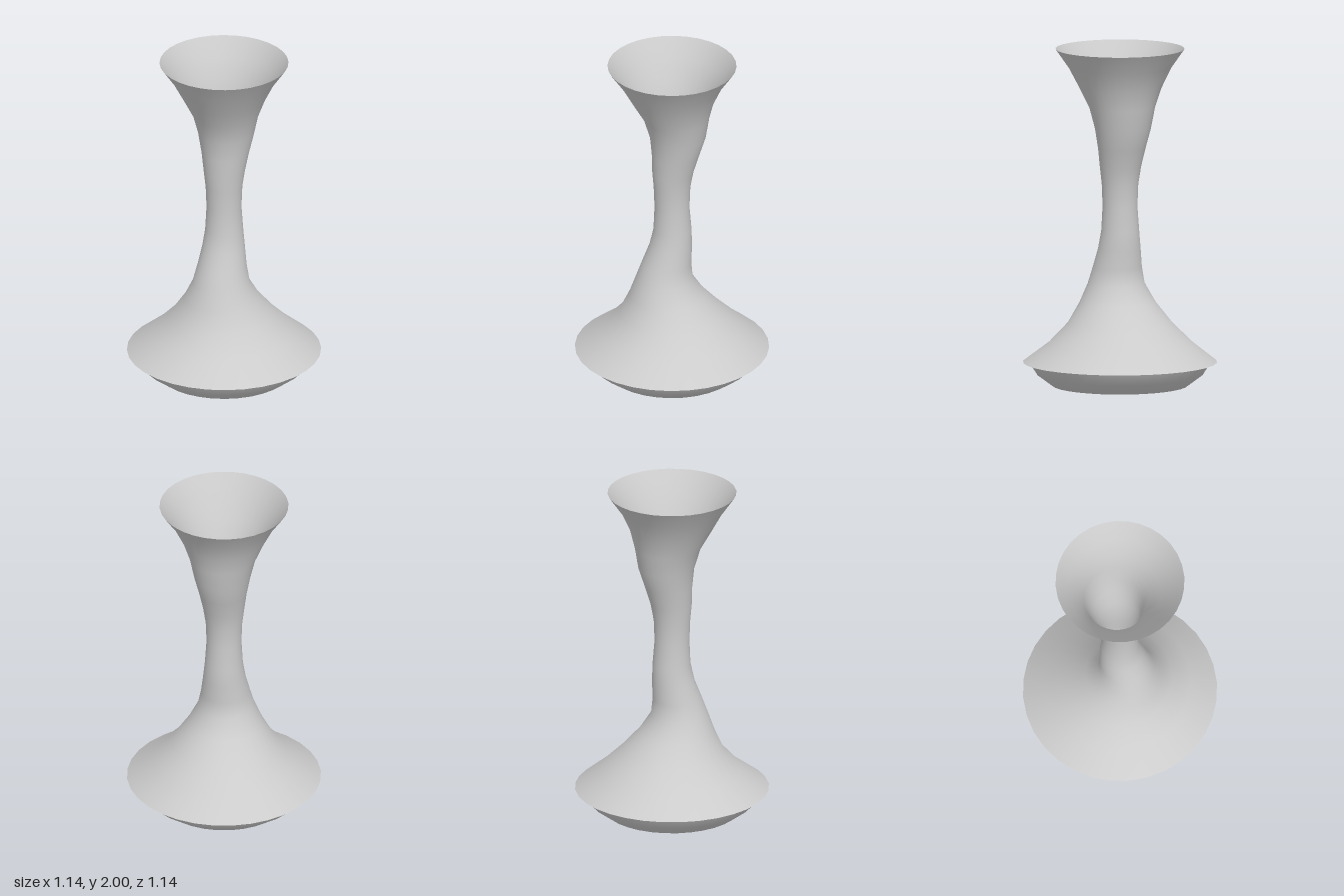
import * as THREE from 'three';

const SIDES = 32;

// Skin a stack of circular rings, each [y, radius, z offset of the centre].
function loft(rings) {
  const pos = [], idx = [];
  for (const [y, r, z] of rings) {
    for (let i = 0; i < SIDES; i++) {
      const a = (i / SIDES) * Math.PI * 2;
      pos.push(r * Math.sin(a), y, z + r * Math.cos(a));
    }
  }
  for (let j = 0; j < rings.length - 1; j++) {
    for (let i = 0; i < SIDES; i++) {
      const n = (i + 1) % SIDES;
      const a = j * SIDES + i, b = j * SIDES + n;
      idx.push(a, b, b + SIDES, a, b + SIDES, a + SIDES);
    }
  }
  const geo = new THREE.BufferGeometry();
  geo.setAttribute('position', new THREE.Float32BufferAttribute(pos, 3));
  geo.setIndex(idx);
  geo.computeVertexNormals();
  return geo;
}

export function createModel() {
  const group = new THREE.Group();
  group.name = 'vase';
  const material = new THREE.MeshStandardMaterial({ color: 0xcccccc, side: THREE.DoubleSide });

  const add = (name, rings) => {
    const mesh = new THREE.Mesh(loft(rings), material);
    mesh.name = name;
    group.add(mesh);
  };

  // Open, flared body whose neck sways backward above and forward below
  add('body', [
    [0.138, 0.572, 0],
    [0.254, 0.423, -0.008],
    [0.37, 0.308, 0],
    [0.49, 0.224, 0.029],
    [0.6, 0.168, 0.046],
    [0.7, 0.145, 0.032],
    [0.81, 0.126, 0.008],
    [0.92, 0.112, -0.003],
    [1.065, 0.103, 0],
    [1.195, 0.108, 0],
    [1.3, 0.122, -0.005],
    [1.41, 0.14, -0.021],
    [1.53, 0.165, -0.035],
    [1.655, 0.194, -0.026],
    [1.77, 0.242, -0.006],
    [1.89, 0.303, 0],
    [2, 0.38, 0],
  ]);

  // Open shallow bowl tucked under the flared skirt
  add('base', [
    [0, 0.4, 0],
    [0.065, 0.488, 0],
    [0.138, 0.535, 0],
    [0.155, 0.54, 0],
  ]);

  return group;
}
